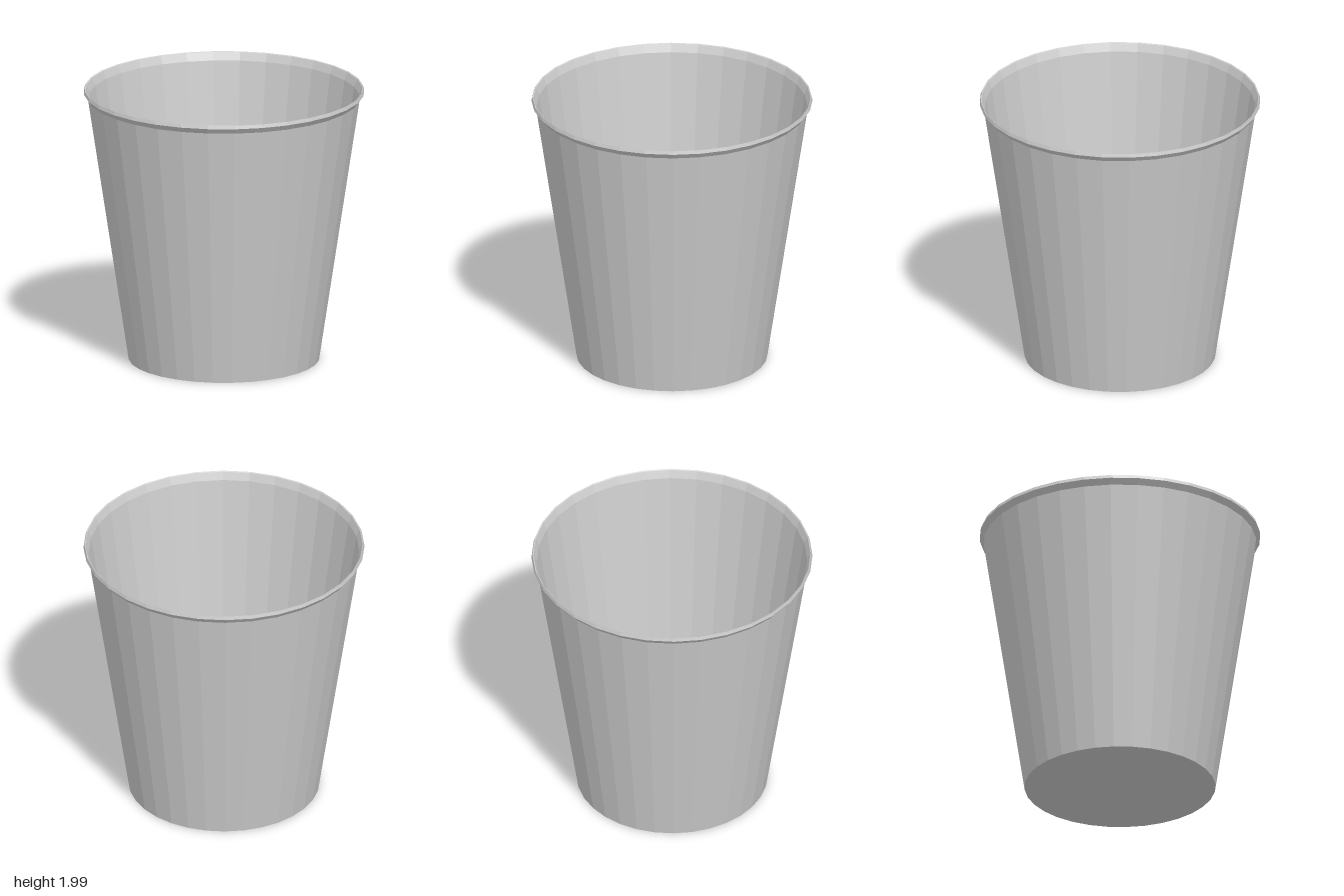
import * as THREE from 'three';

const SIDES = 32;
const material = new THREE.MeshStandardMaterial({ color: 0xcccccc, flatShading: true, side: THREE.DoubleSide });

// Faceted ring or disc turned from [radius, height] points
function turned(name, points) {
  const profile = points.map(([r, y]) => new THREE.Vector2(r, y));
  const mesh = new THREE.Mesh(new THREE.LatheGeometry(profile, SIDES), material);
  mesh.name = name;
  return mesh;
}

export function createModel() {
  const group = new THREE.Group();
  group.name = 'cup';

  // Underside and tapered outer wall
  group.add(turned('outerWall', [[0, 0], [0.68, 0], [0.97, 1.92]]));

  // Flared lip, from the outer wall over the top to the inner wall
  group.add(turned('rim', [[0.97, 1.92], [1, 1.96], [0.993, 1.985], [0.985, 1.98], [0.962, 1.925]]));

  // Inner wall and floor
  group.add(turned('innerWall', [[0.962, 1.925], [0.674, 0.01], [0, 0.01]]));

  return group;
}
